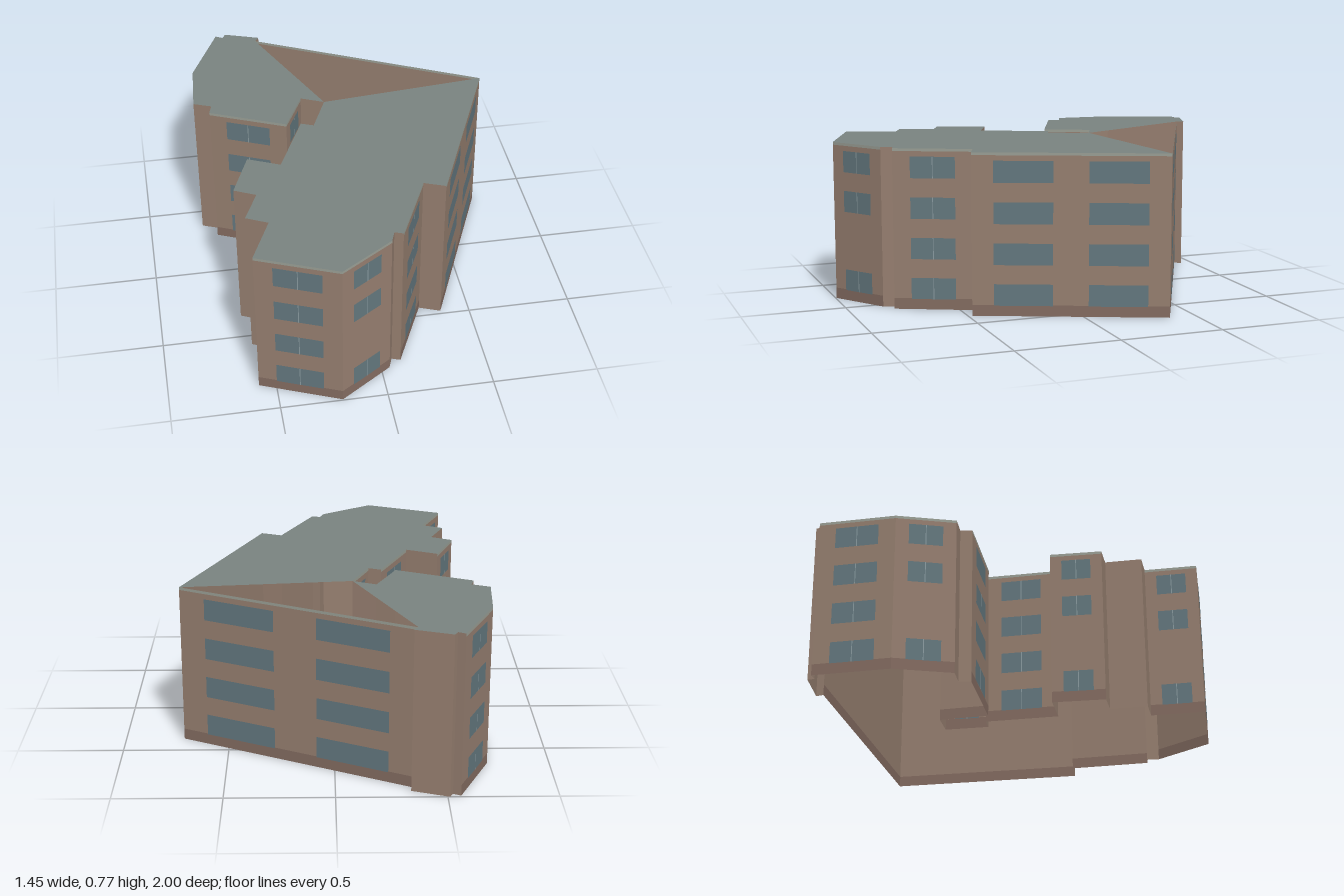
import * as THREE from 'three';

const H = 0.773;      // roof height
const BASE = 0.053;   // top of the plinth band
const EAVE = 0.76;    // bottom of the fascia band

// Plan outline as [x, z], going round from the back left corner
const outline = [
  [0.72, -0.37], [-0.36, -0.91], [-0.34, -0.94], [-0.51, -1.0], [-0.525, -0.97], [-0.56, -0.99],
  [-0.71, -0.66], [-0.73, -0.38], [-0.645, -0.345], [-0.66, -0.29], [-0.3, -0.13], [-0.2, -0.34],
  [-0.09, -0.29], [-0.17, -0.1], [-0.23, -0.125], [-0.37, 0.19], [-0.52, 0.12], [-0.61, 0.35],
  [-0.51, 0.4], [-0.58, 0.56], [-0.48, 0.61], [-0.58, 0.84], [-0.21, 0.995], [0.04, 0.825],
  [0.06, 0.77], [0.1, 0.785], [0.26, 0.44], [0.36, 0.48],
];

const material = (color) =>
  new THREE.MeshStandardMaterial({ color, side: THREE.DoubleSide, flatShading: true });

export function createModel() {
  const model = new THREE.Group();
  model.name = 'apartmentBlock';
  const wallMat = material(0x967f70);
  const baseMat = material(0x846c61);
  const fasciaMat = material(0x9a9f95);
  const roofMat = material(0x7a8480);
  const glassMat = new THREE.MeshStandardMaterial({ color: 0x64787f });
  const mullionMat = new THREE.MeshStandardMaterial({ color: 0x8b9ca1 });

  // Upright rectangle in a wall's own frame
  function panel(parent, name, mat, x, w, y0, y1, out = 0) {
    const mesh = new THREE.Mesh(new THREE.PlaneGeometry(w, y1 - y0), mat);
    mesh.position.set(x, (y0 + y1) / 2, out);
    mesh.name = name;
    parent.add(mesh);
  }

  // Walls: long ones have plinth, fascia and windows, short ones are plain
  outline.forEach(([x0, z0], i) => {
    const [x1, z1] = outline[(i + 1) % outline.length];
    const dx = x1 - x0, dz = z1 - z0, len = Math.hypot(dx, dz);
    const wall = new THREE.Group();
    wall.name = 'facade';
    wall.position.set((x0 + x1) / 2, 0, (z0 + z1) / 2);
    wall.rotation.y = Math.atan2(-dz, dx);
    model.add(wall);
    if (len < 0.2) {
      panel(wall, 'plainWall', wallMat, 0, len, 0, H);
      return;
    }
    panel(wall, 'plinth', baseMat, 0, len, 0, BASE);
    panel(wall, 'wall', wallMat, 0, len, BASE, EAVE);
    panel(wall, 'fascia', fasciaMat, 0, len, EAVE, H);

    const wide = len > 0.6;
    const columns = wide ? [-0.24, 0.24] : [0];
    const w = len * (wide ? 0.3 : 0.56);
    for (let floor = 0; floor < 4; floor++) {
      if (len < 0.32 && floor === 1) continue; // narrow walls skip one storey
      const y = 0.05 + floor * 0.194;
      for (const c of columns) {
        panel(wall, 'window', glassMat, c * len, w, y, y + 0.103, 0.002);
        if (!wide) panel(wall, 'mullion', mullionMat, 0, 0.004, y, y + 0.103, 0.003);
      }
    }
  });

  // Flat roofs of the two wings, with the triangle between them left open
  function roof(name, points) {
    const shape = new THREE.Shape(points.map(([x, z]) => new THREE.Vector2(x, -z)));
    const mesh = new THREE.Mesh(new THREE.ShapeGeometry(shape).rotateX(-Math.PI / 2), roofMat);
    mesh.position.y = H;
    mesh.name = name;
    model.add(mesh);
  }
  roof('backWingRoof', outline.slice(1, 13));
  roof('mainWingRoof', [outline[0], ...outline.slice(12)]);

  return model;
}
